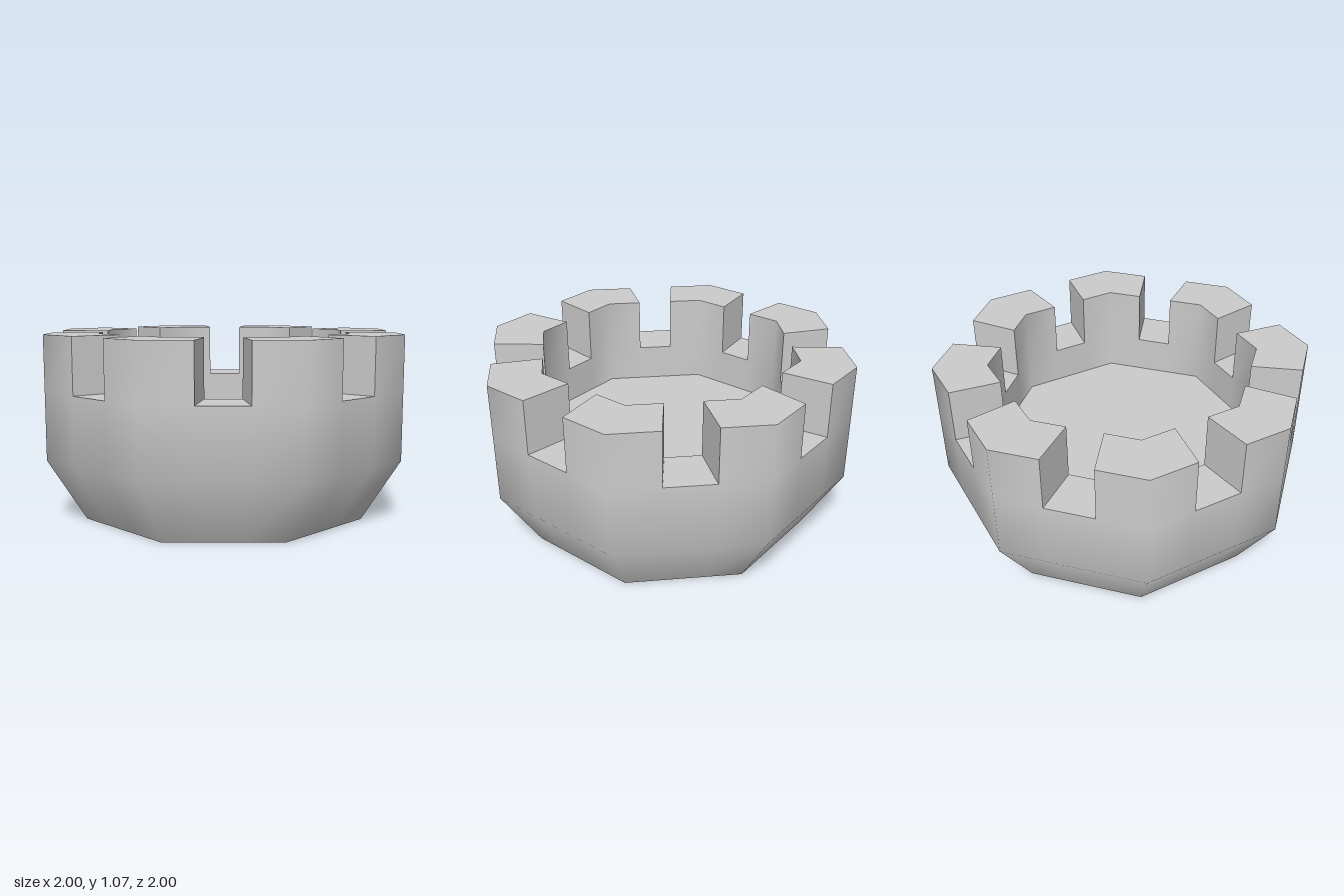
import * as THREE from 'three';

const OUTER = 1, INNER = 0.715, FOOT = 0.795;            // flat-to-centre distances
const TOP = 1.07, NOTCH = 0.75, BEND = 0.36, FLOOR = 0.53; // heights
const SIDES = 8, STEP = Math.PI * 2 / SIDES, HALF = Math.atan(0.14);
const COLS = SIDES * 3;

const material = new THREE.MeshStandardMaterial({ color: 0xcccccc });

// Three columns per side: both notch edges, then the octagon corner
function point(col, apothem, y) {
  const side = Math.floor(col / 3);
  const local = [-HALF, HALF, STEP / 2][col % 3];
  const a = side * STEP + local, r = apothem / Math.cos(local);
  return [r * Math.sin(a), y, r * Math.cos(a)];
}

const isNotch = (col) => col % 3 === 0;

function makeGeometry(positions, index) {
  const g = new THREE.BufferGeometry();
  g.setAttribute('position', new THREE.Float32BufferAttribute(positions, 3));
  g.setIndex(index);
  g.computeVertexNormals();
  return g;
}

// Smooth band through octagonal rings [apothem, y]; keep(col, row) chooses the panels
function band(rings, keep) {
  const positions = [], index = [];
  rings.forEach(([apothem, y], row) => {
    for (let c = 0; c < COLS; c++) positions.push(...point(c, apothem, y));
    if (row === rings.length - 1) return;
    for (let c = 0; c < COLS; c++) {
      if (!keep(c, row)) continue;
      const a = row * COLS + c, b = row * COLS + (c + 1) % COLS;
      index.push(a, b, b + COLS, a, b + COLS, a + COLS);
    }
  });
  return makeGeometry(positions, index);
}

// Flat radial side wall of a notch
function cheek(col, flip) {
  const positions = [
    ...point(col, OUTER, NOTCH), ...point(col, INNER, NOTCH),
    ...point(col, INNER, TOP), ...point(col, OUTER, TOP),
  ];
  return makeGeometry(positions, flip ? [0, 2, 1, 0, 3, 2] : [0, 1, 2, 0, 2, 3]);
}

// Horizontal octagon facing up or down
function octagon(apothem, y, up) {
  return new THREE.CircleGeometry(apothem / Math.cos(STEP / 2), SIDES, STEP / 2)
    .rotateX(up ? -Math.PI / 2 : Math.PI / 2)
    .translate(0, y, 0);
}

export function createModel() {
  const model = new THREE.Group();
  model.name = 'towerTop';
  const add = (name, geometry) => {
    const mesh = new THREE.Mesh(geometry, material);
    mesh.name = name;
    model.add(mesh);
  };

  // Walls, notched along their upper rows
  add('outerWall', band([[FOOT, 0], [OUTER, BEND], [OUTER, NOTCH], [OUTER, TOP]],
    (c, row) => row < 2 || !isNotch(c)));
  add('innerWall', band([[INNER, TOP], [INNER, NOTCH], [INNER, FLOOR]],
    (c, row) => row > 0 || !isNotch(c)));

  // Tops of the merlons and sills of the notches
  add('merlonTops', band([[OUTER, TOP], [INNER, TOP]], (c) => !isNotch(c)));
  add('notchSills', band([[OUTER, NOTCH], [INNER, NOTCH]], isNotch));
  for (let s = 0; s < SIDES; s++) {
    add('notchSideA', cheek(s * 3, false));
    add('notchSideB', cheek(s * 3 + 1, true));
  }

  // Deck and underside
  add('deck', octagon(INNER, FLOOR, true));
  add('underside', octagon(FOOT, 0, false));
  return model;
}
